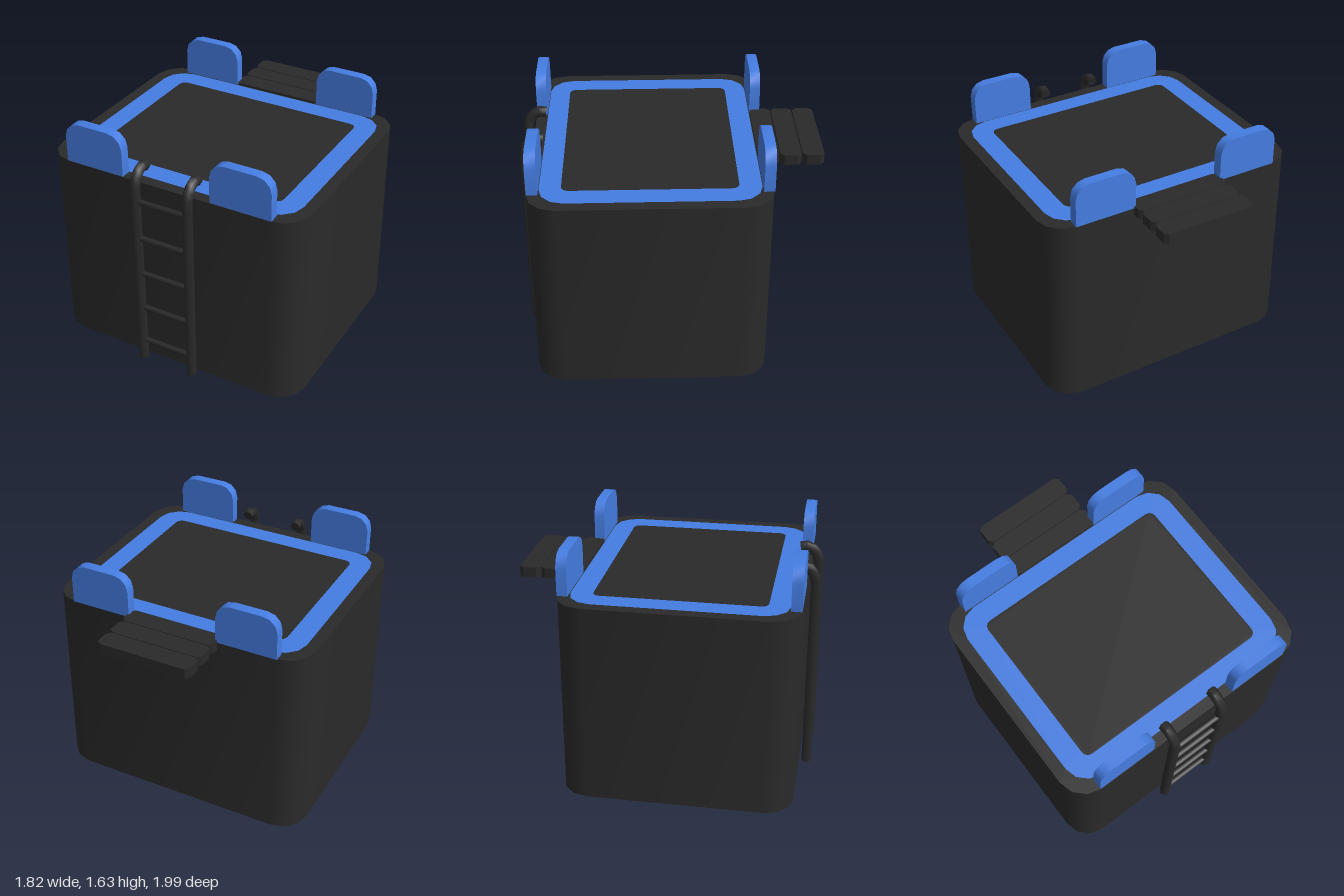
import * as THREE from 'three';
import { toCreasedNormals } from 'three/addons/utils/BufferGeometryUtils.js';

const charcoal = new THREE.MeshStandardMaterial({ color: 0x2a2a2a, side: THREE.DoubleSide });
charcoal.name = 'charcoal';
const blue = new THREE.MeshStandardMaterial({ color: 0x457de2, side: THREE.DoubleSide });
blue.name = 'blue';

const TOP = 1.35;

// Counter-clockwise rectangle outline; r rounds the upper corners, rb the lower ones, n segments each
function outline(x0, y0, x1, y1, r, rb = r, n = 3) {
  const points = [];
  const corners = [[x1 - rb, y0 + rb, rb, -1], [x1 - r, y1 - r, r, 0], [x0 + r, y1 - r, r, 1], [x0 + rb, y0 + rb, rb, 2]];
  for (const [cx, cy, rad, quarter] of corners) {
    const segments = rad > 0 ? n : 0;
    for (let i = 0; i <= segments; i++) {
      const a = (quarter + (segments ? i / segments : 0)) * Math.PI / 2;
      points.push(new THREE.Vector2(cx + rad * Math.cos(a), cy + rad * Math.sin(a)));
    }
  }
  return points;
}

// Flat horizontal face from a plan outline, whose y runs to -z
function flatFace(points, y, hole) {
  const shape = new THREE.Shape(points);
  if (hole) shape.holes.push(new THREE.Path(hole));
  return new THREE.ShapeGeometry(shape).rotateX(-Math.PI / 2).translate(0, y, 0);
}

// Upright wall around a plan outline, open above and below
function wall(points, y0, y1) {
  const positions = [], index = [], n = points.length;
  points.forEach((p, i) => {
    positions.push(p.x, y0, -p.y, p.x, y1, -p.y);
    const a = 2 * i, b = 2 * ((i + 1) % n);
    index.push(a, b, b + 1, a, b + 1, a + 1);
  });
  const g = new THREE.BufferGeometry();
  g.setAttribute('position', new THREE.Float32BufferAttribute(positions, 3));
  g.setIndex(index);
  return toCreasedNormals(g, 0.6);
}

export function createModel() {
  const model = new THREE.Group();
  model.name = 'pool';
  const group = (name, parent = model) => {
    const g = new THREE.Group();
    g.name = name;
    parent.add(g);
    return g;
  };
  const add = (name, geometry, material, parent = model) => {
    const mesh = new THREE.Mesh(geometry, material);
    mesh.name = name;
    parent.add(mesh);
    return mesh;
  };

  // Tub wall, open underneath, with rim, coloured band and pool surface level on top
  const tubEdge = outline(-0.91, -0.912, 0.91, 0.628, 0.188);
  const bandEdge = outline(-0.83, -0.836, 0.83, 0.558, 0.16);
  const poolEdge = outline(-0.686, -0.698, 0.686, 0.416, 0.045);
  add('tubWall', wall(tubEdge, 0, TOP), charcoal);
  add('tubRim', flatFace(tubEdge, TOP, bandEdge), charcoal);
  add('rimBand', flatFace(bandEdge, TOP, poolEdge), blue);
  add('poolSurface', flatFace(poolEdge, TOP), charcoal);

  // Four upright rounded panels along the front and back rims
  const panelShape = new THREE.Shape(outline(-0.21, TOP, 0.21, 1.63, 0.1, 0));
  const panel = toCreasedNormals(new THREE.ExtrudeGeometry(panelShape, { depth: 0.07, bevelEnabled: false }), 0.6);
  for (const [side, z] of [['front', 0.839], ['back', -0.632]]) {
    for (const sx of [-1, 1]) {
      const mesh = add(`${side}${sx > 0 ? 'Left' : 'Right'}Panel`, panel, blue);
      mesh.position.set(sx * 0.523, 0, z);
    }
  }

  // Ladder: two six-sided rails hooking over the rim
  const ladder = group('ladder');
  const railPath = new THREE.CatmullRomCurve3([
    [0, 0.9625], [0.65, 0.9625], [1.25, 0.9625], [1.32, 0.9625],
    [1.385, 0.95], [1.428, 0.918], [1.446, 0.877], [1.438, 0.836],
  ].map(([y, z]) => new THREE.Vector3(0, y, z)));
  const hexagon = new THREE.Shape(Array.from({ length: 6 }, (_, i) => {
    const a = (i + 0.5) * Math.PI / 3;
    return new THREE.Vector2(0.0365 * Math.cos(a), 0.0365 * Math.sin(a));
  }));
  const rail = toCreasedNormals(new THREE.ExtrudeGeometry(hexagon, { steps: 36, extrudePath: railPath }), 1.1);
  for (const sx of [-1, 1]) {
    add(sx > 0 ? 'leftRail' : 'rightRail', rail, charcoal, ladder).position.x = sx * 0.188;
  }

  // Five rungs
  const rungShape = new THREE.CylinderGeometry(0.02, 0.02, 0.34, 6).rotateZ(Math.PI / 2);
  for (let i = 0; i < 5; i++) {
    add('rung', rungShape, charcoal, ladder).position.set(0, 0.147 + i * 0.273, 0.9625);
  }

  // Back shelf: three slats with clipped corners, open underneath
  const slatEdge = outline(-0.325, -0.0705, 0.325, 0.0705, 0.026, 0.026, 1);
  for (let i = 0; i < 3; i++) {
    const slat = group('shelfSlat');
    slat.position.z = -0.6335 - i * 0.148;
    add('slatSides', wall(slatEdge, 1.297, 1.367), charcoal, slat);
    add('slatTop', flatFace(slatEdge, 1.367), charcoal, slat);
  }
  return model;
}
